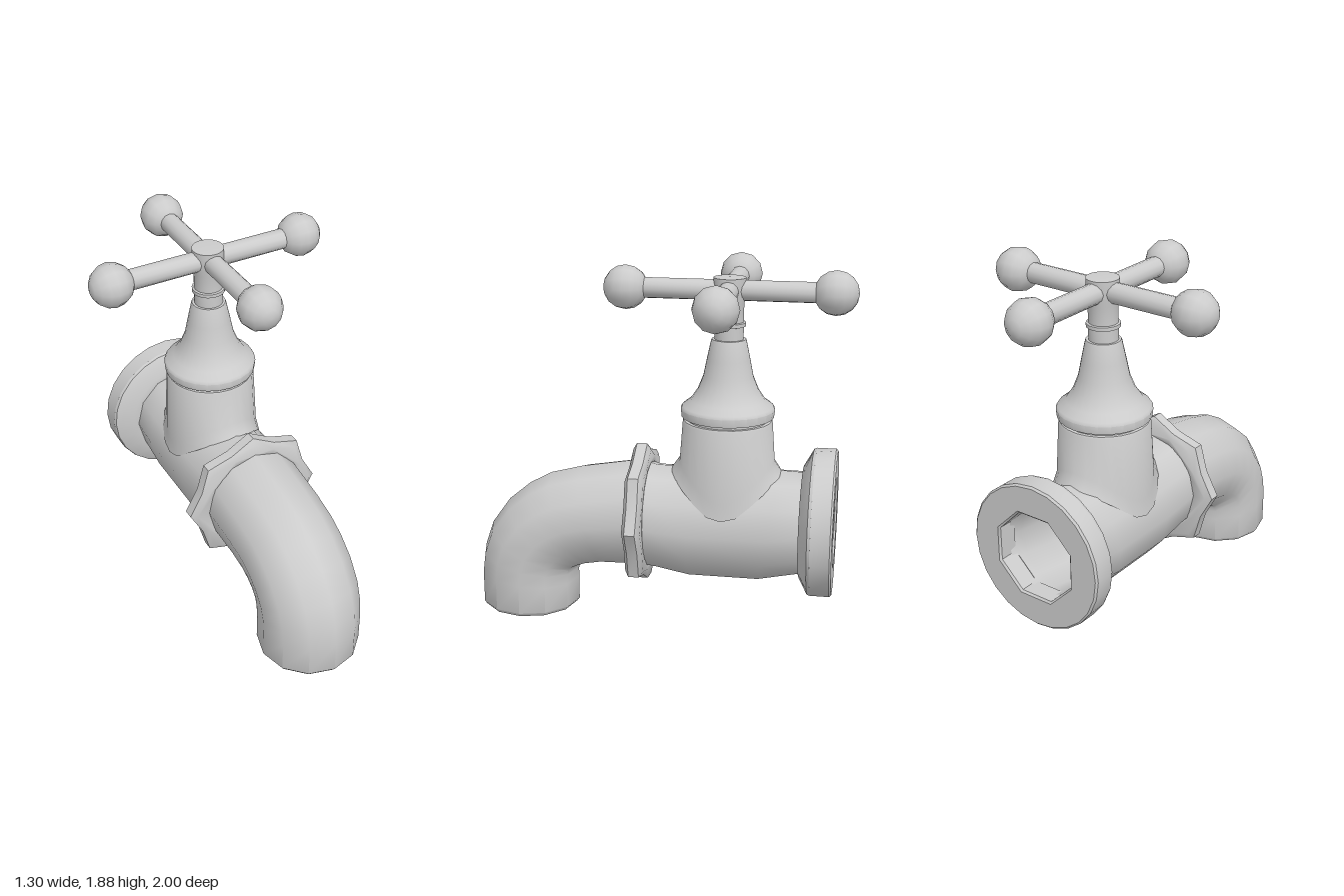
import * as THREE from 'three';
import { toCreasedNormals } from 'three/addons/utils/BufferGeometryUtils.js';

const AXIS_Y = 0.55, STEM_Z = -0.35, HANDLE_Y = 1.765;
const material = new THREE.MeshStandardMaterial({ color: 0xcccccc });

function part(name, geometry) {
  const mesh = new THREE.Mesh(toCreasedNormals(geometry, 0.7), material);
  mesh.name = name;
  return mesh;
}

// Skin over elliptical rings, each given by its top (z, y), bottom (z, y) and half width
function loft(rings, sides) {
  const positions = [], index = [];
  rings.forEach(([tz, ty, bz, by, w], r) => {
    for (let k = 0; k < sides; k++) {
      const t = (k / sides) * Math.PI * 2, c = Math.cos(t) / 2;
      positions.push(w * Math.sin(t), (ty + by) / 2 + (ty - by) * c, (tz + bz) / 2 + (tz - bz) * c);
      if (r === rings.length - 1) continue;
      const a = r * sides + k, b = r * sides + ((k + 1) % sides);
      index.push(a, a + sides, b, b, a + sides, b + sides);
    }
  });
  const geometry = new THREE.BufferGeometry();
  geometry.setAttribute('position', new THREE.Float32BufferAttribute(positions, 3));
  geometry.setIndex(index);
  return geometry;
}

function lathe(profile, sides) {
  return new THREE.LatheGeometry(profile.map(([r, y]) => new THREE.Vector2(r, y)), sides);
}

// Closed outline whose radius is a function of the corner number
function outline(count, radius, turn = 0) {
  return Array.from({ length: count }, (_, i) => {
    const t = (i / count) * Math.PI * 2 + turn;
    return new THREE.Vector2(radius(i) * Math.cos(t), radius(i) * Math.sin(t));
  });
}

// Bevelled plate with a hole, spanning z0 to z1
function plate(outer, hole, z0, z1, bevelSize, bevelThickness) {
  const shape = new THREE.Shape(outer);
  shape.holes.push(new THREE.Path(hole));
  const geometry = new THREE.ExtrudeGeometry(shape, {
    depth: z1 - z0 - 2 * bevelThickness, bevelEnabled: true, bevelSegments: 1, bevelSize, bevelThickness
  });
  return geometry.translate(0, AXIS_Y, z0 + bevelThickness);
}

export function createModel() {
  const group = new THREE.Group();

  // Hollow pipe: body, elbow and down-turned spout, then back along the inside
  const outer = [
    [-0.76, 0.82, -0.76, 0.27, 0.265],
    [-0.63, 0.825, -0.53, 0.22, 0.27],
    [-0.17, 0.82, -0.17, 0.22, 0.27],
    [0.02, 0.82, 0.0, 0.255, 0.27],
    [0.1, 0.84, 0.1, 0.268, 0.275],
    [0.15, 0.838, 0.15, 0.265, 0.275],
    [0.43, 0.79, 0.3, 0.264, 0.272],
    [0.6, 0.745, 0.38, 0.25, 0.27],
    [0.72, 0.68, 0.42, 0.238, 0.27],
    [0.84, 0.58, 0.445, 0.228, 0.27],
    [0.94, 0.44, 0.455, 0.22, 0.27],
    [0.985, 0.31, 0.46, 0.2, 0.27],
    [1, 0.2, 0.46, 0.15, 0.27],
    [1, 0.02, 0.46, 0.02, 0.27]
  ];
  const shrink = ([tz, ty, bz, by, w], s = 0.87) => {
    const cz = (tz + bz) / 2, cy = (ty + by) / 2;
    return [cz + (tz - cz) * s, cy + (ty - cy) * s, cz + (bz - cz) * s, cy + (by - cy) * s, w * s];
  };
  const lip = [[0.985, 0, 0.475, 0, 0.255], [0.965, 0, 0.495, 0, 0.235]];
  const inner = outer.map(ring => shrink(ring)).reverse();
  inner.push([-0.85, 0.79, -0.85, 0.31, 0.24]);
  group.add(part('pipe', loft([...outer, ...lip, ...inner], 12)));

  // Lobed collar between body and spout
  const collar = plate(
    outline(16, i => (i % 2 ? 0.308 : 0.35)), outline(16, () => 0.28), 0.055, 0.15, 0.03, 0.02);
  group.add(part('collar', collar.scale(0.98, 1, 1)));

  // Wall flange with an eight-sided socket and a sloping shoulder
  group.add(part('wallFlange', plate(
    outline(24, () => 0.38), outline(8, () => 0.25, Math.PI / 8), -0.925, -0.805, 0.01, 0.01)));
  const shoulder = lathe([[0.39, -0.815], [0.385, -0.8], [0.295, -0.75], [0.25, -0.75]], 24);
  group.add(part('flangeShoulder', shoulder.rotateX(Math.PI / 2).translate(0, AXIS_Y, 0)));

  // Valve stem; its two lowest rings are fitted to the round body
  const stem = lathe([
    [0.275, 0.7], [0.25, 0.75], [0.235, 1.08], [0.23, 1.09], [0.212, 1.09], [0.212, 1.108],
    [0.24, 1.108], [0.245, 1.15], [0.236, 1.165], [0.195, 1.195], [0.158, 1.25], [0.13, 1.32],
    [0.112, 1.41], [0.092, 1.505], [0.088, 1.515], [0.075, 1.515], [0.075, 1.58], [0.086, 1.583],
    [0.086, 1.602], [0.075, 1.605], [0.075, 1.7], [0.083, 1.73], [0.083, 1.83], [0, 1.835]
  ], 24);
  const p = stem.attributes.position;
  for (let i = 0; i < p.count; i++) {
    const y = p.getY(i);
    if (y > 0.8) continue;
    const lowest = y < 0.72;
    if (lowest) p.setXYZ(i, p.getX(i) * 0.95, y, p.getZ(i) * 1.06);
    const saddle = AXIS_Y + Math.sqrt(Math.max(0.265 ** 2 - p.getX(i) ** 2, 0.004));
    p.setY(i, saddle + (lowest ? 0 : 0.06));
  }
  group.add(part('valveStem', stem.translate(0, 0, STEM_Z)));

  // Cross handle: four arms ending in balls
  const handle = new THREE.Group();
  handle.name = 'handle';
  handle.position.set(0, HANDLE_Y, STEM_Z);
  for (let i = 0; i < 4; i++) {
    const arm = new THREE.Group();
    arm.name = 'handleArm';
    arm.rotation.y = (i * Math.PI) / 2;
    const rod = new THREE.CylinderGeometry(0.053, 0.053, 0.46, 12, 1, true);
    arm.add(part('rod', rod.rotateX(Math.PI / 2).translate(0, 0, 0.23)));
    const ball = new THREE.SphereGeometry(0.115, 12, 8);
    arm.add(part('ball', ball.rotateX(Math.PI / 2).translate(0, 0, 0.535)));
    handle.add(arm);
  }
  group.add(handle);
  return group;
}
